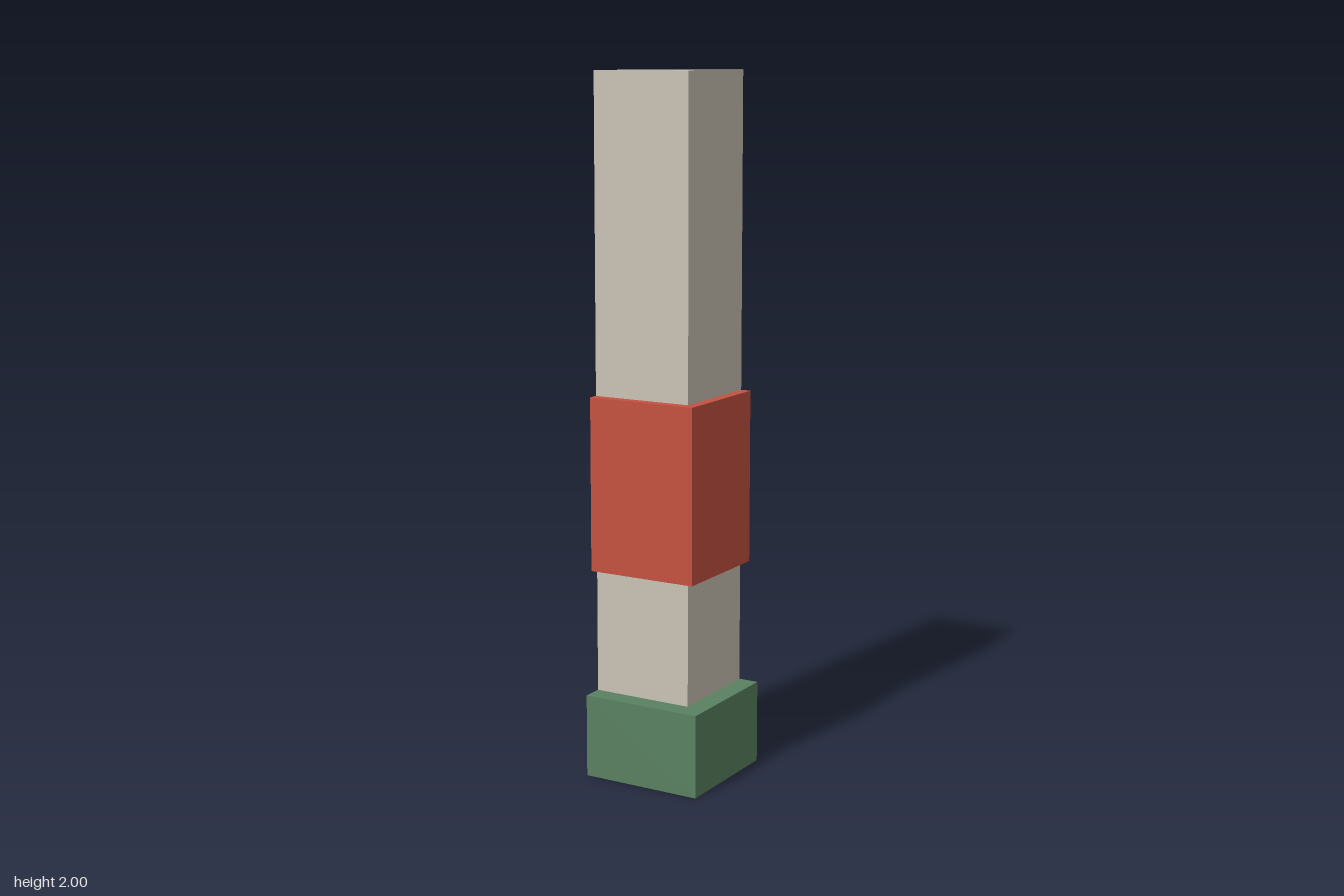
import * as THREE from 'three';

const BACK = -0.18; // shared flush corner on x and z
const FACE = 0.12; // outer faces of the post

function material(name, color) {
  const m = new THREE.MeshStandardMaterial({ color });
  m.name = name;
  return m;
}

// L-shaped cladding wrapping the +x and +z faces of the post
function cladding(name, outer, y0, y1, mat) {
  const shape = new THREE.Shape([
    [BACK, -outer], [outer, -outer], [outer, -BACK],
    [FACE, -BACK], [FACE, -FACE], [BACK, -FACE],
  ].map(([x, y]) => new THREE.Vector2(x, y)));
  const geo = new THREE.ExtrudeGeometry(shape, { depth: y1 - y0, bevelEnabled: false });
  geo.rotateX(-Math.PI / 2).translate(0, y0, 0);
  const mesh = new THREE.Mesh(geo, mat);
  mesh.name = name;
  return mesh;
}

export function createModel() {
  const group = new THREE.Group();
  group.name = 'cornerPost';

  // Square post, full height
  const size = FACE - BACK, mid = (FACE + BACK) / 2;
  const post = new THREE.Mesh(
    new THREE.BoxGeometry(size, 2, size).translate(mid, 1, mid),
    material('stone', 0xcac3b5));
  post.name = 'post';

  // Base skirting and the raised middle band
  group.add(
    post,
    cladding('base', 0.18, 0, 0.24, material('green', 0x598161)),
    cladding('band', 0.15, 0.6, 1.1, material('red', 0xc55140)));
  return group;
}
